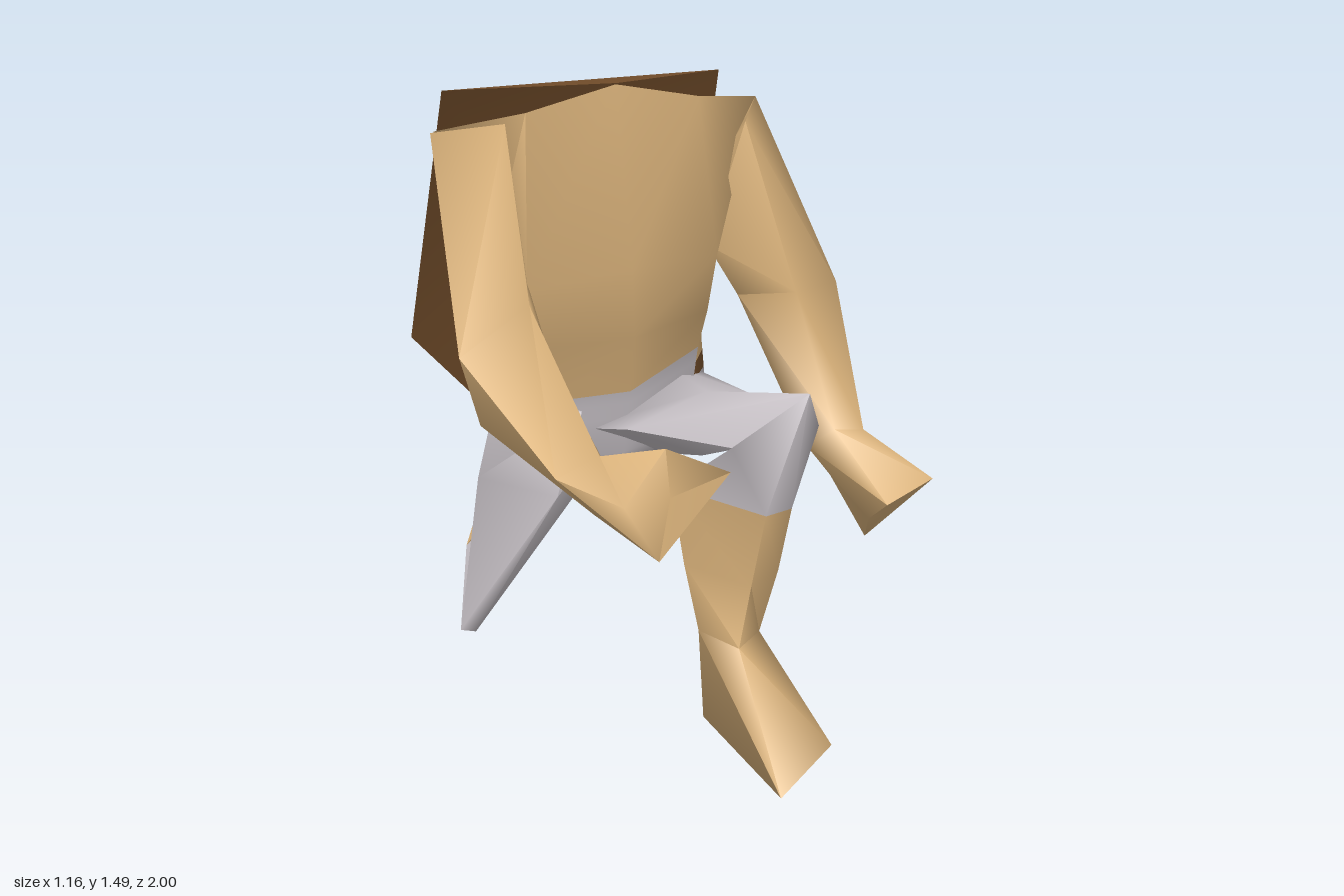
import * as THREE from 'three';
import { toCreasedNormals } from 'three/addons/utils/BufferGeometryUtils.js';

const mat = (name, color, side = THREE.FrontSide) => {
  const m = new THREE.MeshStandardMaterial({ color, side });
  m.name = name;
  return m;
};

// Skin closed rings of points; matOf(ring, side) picks the material index.
function loft(name, rings, mats, matOf) {
  const n = rings[0].length, last = rings.length - 1;
  const tris = [];
  const centre = r => [0, 1, 2].map(k => r.reduce((s, p) => s + p[k], 0) / n);
  const c0 = centre(rings[0]), c1 = centre(rings[last]);
  for (let j = 0; j < n; j++) {
    const k = (j + 1) % n;
    for (let i = 0; i < last; i++) {
      const a = rings[i][j], b = rings[i][k], c = rings[i + 1][k], d = rings[i + 1][j];
      const m = matOf(i, j);
      tris.push([m, a, b, c], [m, a, c, d]);
    }
    tris.push([matOf(0, j), c0, rings[0][k], rings[0][j]]);
    tris.push([matOf(last - 1, j), c1, rings[last][j], rings[last][k]]);
  }
  // Signed volume tells whether the faces point outward
  let volume = 0;
  for (const [, a, b, c] of tris) {
    volume += new THREE.Vector3(...a).cross(new THREE.Vector3(...b)).dot(new THREE.Vector3(...c));
  }
  const pos = [];
  const geo = new THREE.BufferGeometry();
  mats.forEach((_, m) => {
    const start = pos.length / 3;
    for (const [tm, a, b, c] of tris) {
      if (tm === m) pos.push(...a, ...(volume > 0 ? b : c), ...(volume > 0 ? c : b));
    }
    geo.addGroup(start, pos.length / 3 - start, m);
  });
  geo.setAttribute('position', new THREE.Float32BufferAttribute(pos, 3));
  const mesh = new THREE.Mesh(toCreasedNormals(geo, 1.65), mats);
  mesh.name = name;
  return mesh;
}

// Ring a fraction t of the way from ring a to ring b
const between = (a, b, t) => a.map((p, j) => p.map((v, k) => v + (b[j][k] - v) * t));

export function createModel() {
  const skin = mat('skin', 0xdcb47c);
  const cloth = mat('shorts cloth', 0xcbc5ca);
  const brown = mat('brown leather', 0x76502c, THREE.DoubleSide);
  const mats = [skin, cloth, brown];
  const g = new THREE.Group();
  g.name = 'kneelingFigure';

  // Torso and hips: left, front-left, front, front-right, right, back-right, back, back-left
  const torso = [
    [[.27, 1.40, .09], [.08, 1.44, .2], [-.12, 1.485, .21], [-.32, 1.435, .19],
      [-.5, 1.39, .1], [-.38, 1.27, -.08], [-.12, 1.27, -.1], [.2, 1.26, -.1]],
    [[.2, 1.06, .05], [.14, 1.06, .18], [-.08, 1.06, .21], [-.32, 1.03, .18],
      [-.36, 1.03, .03], [-.27, 1.03, -.14], [-.06, 1.02, -.16], [.13, 1.02, -.15]],
    [[.19, .91, 0], [.14, .91, .13], [-.06, .88, .17], [-.27, .87, .14],
      [-.32, .89, -.01], [-.24, .91, -.18], [-.05, .92, -.21], [.13, .91, -.19]],
    [[.2, .78, -.04], [.13, .81, .1], [-.05, .73, .12], [-.22, .72, .09],
      [-.3, .75, -.06], [-.22, .81, -.22], [-.03, .83, -.25], [.13, .82, -.23]],
    [[.235, .58, -.08], [.12, .59, .06], [-.05, .56, .08], [-.18, .56, .06],
      [-.29, .58, -.07], [-.22, .54, -.25], [-.05, .54, -.265], [.13, .57, -.21]],
    [[.1, .54, -.07], [.05, .53, .02], [-.06, .49, .05], [-.15, .48, .02],
      [-.24, .47, -.08], [-.19, .45, -.22], [-.07, .45, -.22], [.04, .5, -.16]],
  ];
  // Skin above, ragged belt at the sides, cloth below
  const [waist, hips] = [torso[3], torso[4]];
  torso.splice(4, 0, between(waist, hips, .18), between(waist, hips, .43));
  g.add(loft('torso', torso, mats, (i, j) => {
    if (i < 3) return 0;
    if (i === 3) return j === 4 ? 2 : j === 0 ? 0 : 1;
    return i === 4 && [0, 3, 4, 7].includes(j) ? 2 : 1;
  }));

  // Left leg: planted foot, knee raised (top/front, outer, bottom/back, inner)
  g.add(loft('leftLeg', [
    [[.09, .74, .02], [.21, .68, -.06], [.06, .51, 0], [-.14, .62, .04]],
    [[.1, .745, .22], [.23, .71, .2], [.1, .575, .2], [-.09, .67, .2]],
    [[.165, .875, .62], [.22, .77, .56], [.1, .71, .48], [.02, .74, .54]],
    [[.09, .58, .575], [.2, .54, .48], [.11, .55, .4], [-.05, .59, .37]],
    [[.07, .4, .55], [.18, .38, .46], [.08, .38, .365], [-.025, .4, .39]],
    [[.05, .24, .535], [.145, .22, .44], [.06, .21, .365], [0, .24, .42]],
    [[.04, 0, .79], [.245, 0, .63], [.07, .015, .31], [.015, .01, .42]],
  ], mats, i => (i < 3 ? 1 : 0)));

  // Right leg: kneeling, shin trailing behind (front/bottom, outer, back/top, inner)
  g.add(loft('rightLeg', [
    [[-.17, .69, .1], [-.32, .7, -.06], [-.18, .7, -.25], [.02, .6, -.08]],
    [[-.22, .47, .08], [-.36, .47, -.1], [-.2, .45, -.275], [-.04, .48, -.09]],
    [[-.38, .06, -.09], [-.41, .055, -.12], [-.24, .29, -.265], [-.11, .3, -.19]],
    [[-.21, .09, -.33], [-.32, .17, -.35], [-.22, .29, -.3], [-.09, .26, -.3]],
    [[-.1, .115, -.5], [-.24, .2, -.5], [-.13, .31, -.46], [-.03, .22, -.48]],
    [[0, .14, -.64], [-.14, .23, -.67], [-.09, .31, -.64], [.02, .2, -.62]],
    [[.245, .12, -.92], [0, .125, -1], [-.09, .445, -.77], [.01, .45, -.79]],
  ], mats, i => (i < 3 ? 1 : 0)));

  // Left arm: hanging, bent slightly forward (front, outer, back, inner)
  g.add(loft('leftArm', [
    [[.2, 1.37, .19], [.27, 1.4, .09], [.21, 1.26, -.1], [.15, 1.06, .1]],
    [[.35, .94, .17], [.49, .93, .1], [.4, .84, -.035], [.24, .92, .08]],
    [[.395, .635, .3], [.5, .6, .25], [.42, .49, .24], [.35, .58, .25]],
    [[.42, .53, .525], [.58, .54, .45], [.45, .38, .37], [.42, .46, .44]],
  ], mats, () => 0));

  // Right arm: stretched forward (top, outer, bottom, inner)
  g.add(loft('rightArm', [
    [[-.36, 1.41, .17], [-.51, 1.39, .11], [-.42, 1.22, -.07], [-.31, 1.04, .15]],
    [[-.4, 1.085, .43], [-.58, 1.02, .51], [-.52, .84, .45], [-.35, .95, .42]],
    [[-.37, .87, .76], [-.46, .83, .75], [-.38, .74, .75], [-.33, .8, .73]],
    [[-.32, .965, .98], [-.4, .85, .97], [-.34, .74, 1], [-.17, .88, .95]],
  ], mats, () => 0));

  // Shell on the back: six-cornered rim, raised middle, flat flap over the neck
  const rim = [[.24, 1.435, -.05], [.285, .785, -.315], [0, .24, -.585],
    [-.445, .76, -.35], [-.42, 1.43, -.1]];
  const middle = [-.08, 1, -.39], peak = [-.12, 1.49, .22];
  const pts = [...rim[4], ...peak, ...rim[0]];
  rim.forEach((p, i) => pts.push(...middle, ...rim[(i + 1) % 5], ...p));
  const shellGeo = new THREE.BufferGeometry();
  shellGeo.setAttribute('position', new THREE.Float32BufferAttribute(pts, 3));
  const shell = new THREE.Mesh(toCreasedNormals(shellGeo, 1.2), brown);
  shell.name = 'backShell';
  g.add(shell);
  return g;
}
